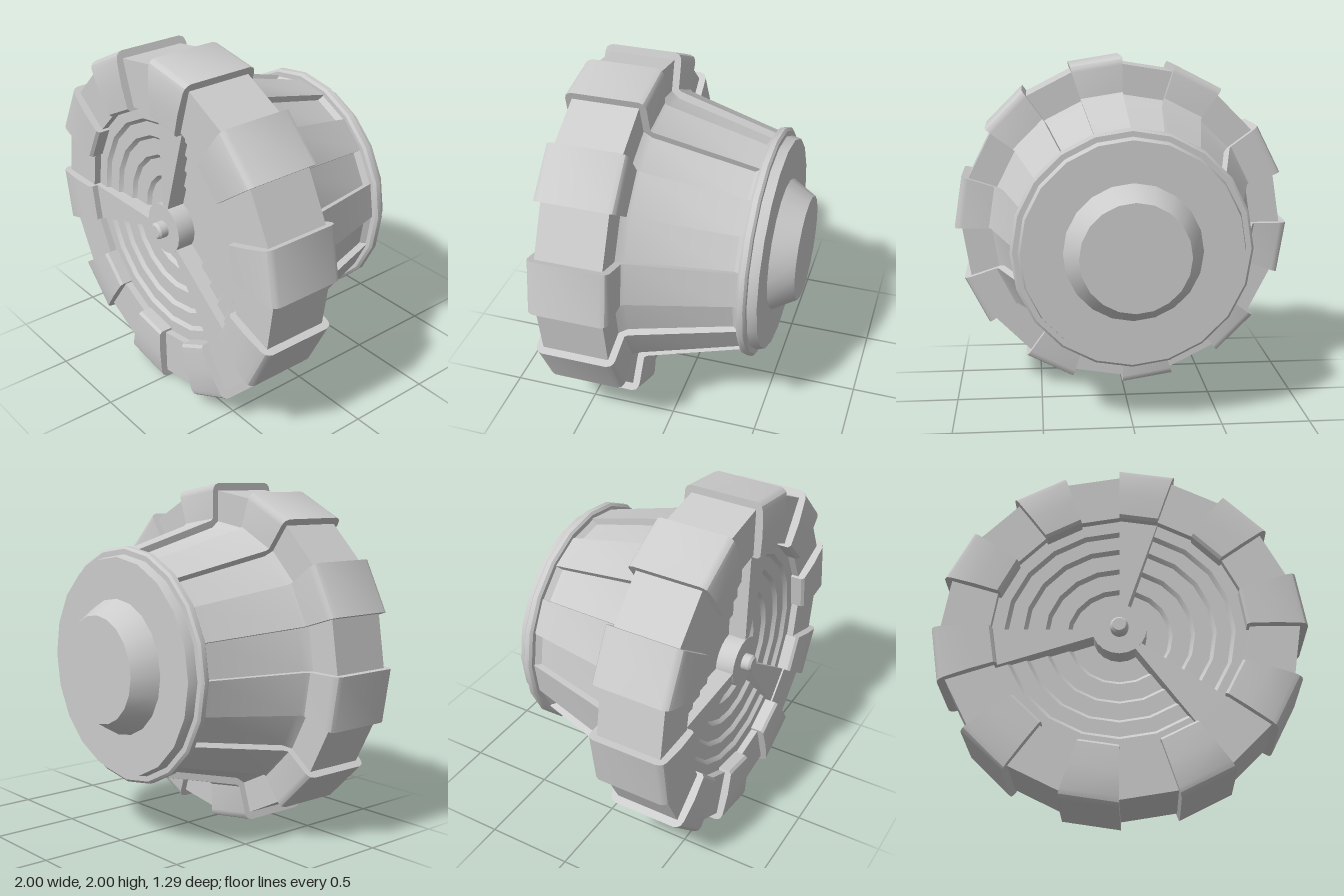
import * as THREE from 'three';
import { toCreasedNormals } from 'three/addons/utils/BufferGeometryUtils.js';

const SIDES = 20;
const STEP = (Math.PI * 2) / SIDES;

export function createModel() {
  const model = new THREE.Group();
  model.name = 'drum';
  const axis = new THREE.Group(); // everything turns about the z axis here
  axis.name = 'drumBody';
  axis.position.y = 1;
  model.add(axis);
  const material = new THREE.MeshStandardMaterial({ color: 0xcccccc });

  const add = (name, geometry) => {
    const mesh = new THREE.Mesh(toCreasedNormals(geometry, 0.5), material);
    mesh.name = name;
    axis.add(mesh);
  };

  // One flat-sided sector: an (r, z) outline swept over one side of the polygon
  const wedge = (name, outline, index) => {
    const shape = new THREE.Shape(outline.map(([r, z]) => new THREE.Vector2(r, z)));
    const geo = new THREE.ExtrudeGeometry(shape, { depth: 1, bevelEnabled: false });
    const p = geo.attributes.position;
    for (let i = 0; i < p.count; i++) {
      const r = p.getX(i), z = p.getY(i);
      const a = (index + 1 - p.getZ(i)) * STEP;
      p.setXYZ(i, r * Math.cos(a), r * Math.sin(a), z);
    }
    add(name, geo);
  };

  // Turned part: (r, z) profile from back to front
  const turned = (name, profile) => {
    const geo = new THREE.LatheGeometry(profile.map(([r, z]) => new THREE.Vector2(r, z)), SIDES);
    geo.rotateX(Math.PI / 2);
    add(name, geo);
  };

  // Outlines, counter-clockwise in (r, z)
  const block = [
    [0.6, 0.185], [0.955, 0.185], [0.975, 0.19], [0.99, 0.2], [1, 0.225],
    [1, 0.595], [0.993, 0.615], [0.98, 0.63], [0.955, 0.638],
    [0.82, 0.645], [0.69, 0.64], [0.675, 0.625], [0.675, 0.45], [0.6, 0.45],
  ];
  const raisedPanel = [[0.5, -0.41], [0.628, -0.41], [0.785, 0.17], [0.81, 0.2], [0.5, 0.2]];
  const rim = [[0.6, 0.225], [0.957, 0.225], [0.957, 0.6], [0.69, 0.6], [0.69, 0.45], [0.6, 0.45]];
  const sunkPanel = [
    [0.5, -0.41], [0.625, -0.41], [0.6, -0.375], [0.745, 0.18], [0.785, 0.23], [0.5, 0.23],
  ];

  // Blocks and raised panels alternate with the lower rim and sunk panels
  for (let i = 0; i < SIDES; i++) {
    const raised = i % 2 === 0;
    wedge(raised ? 'rimBlock' : 'rimSegment', raised ? block : rim, i);
    wedge(raised ? 'raisedPanel' : 'sunkPanel', raised ? raisedPanel : sunkPanel, i);
  }

  // Rear flange with its tapered boss
  turned('rearFlange', [
    [0, -0.645], [0.3, -0.645], [0.38, -0.51], [0.608, -0.51], [0.62, -0.458],
    [0.65, -0.458], [0.664, -0.446], [0.664, -0.418], [0.65, -0.405], [0.5, -0.405],
  ]);

  // Front dish stepping down towards the centre
  const dish = [[0.71, 0.56]];
  [0.62, 0.52, 0.405, 0.285].forEach((r, i) => {
    dish.push([r, 0.56 - i * 0.02], [r - 0.02, 0.54 - i * 0.02]);
  });
  dish.push([0, 0.48]);
  turned('frontDish', dish);

  // Hub plate and centre pin
  turned('hubPlate', [[0.145, 0.46], [0.145, 0.585], [0, 0.585]]);
  turned('hubPin', [[0.048, 0.57], [0.048, 0.63], [0.036, 0.642], [0, 0.642]]);

  // Three tapered arms from the hub to the rim
  for (const index of [4, 10, 17]) {
    wedge('arm', [[0.13, 0.46], [0.695, 0.46], [0.695, 0.59], [0.13, 0.583]], index);
  }
  return model;
}
